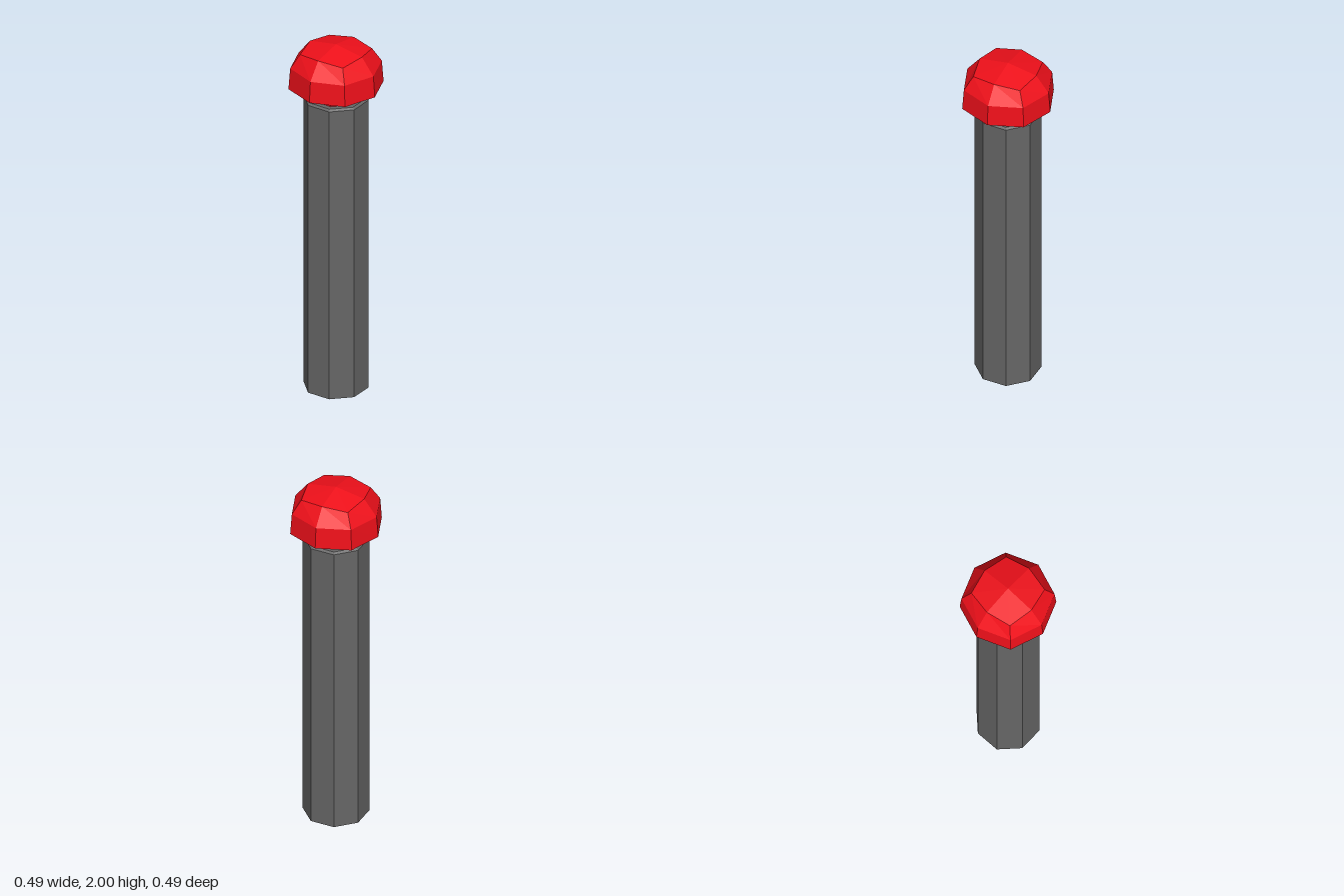
import * as THREE from 'three';

const SIDES = 8;

// Low-poly lathe from [radius, y] points; turn rotates the facets about y
function turned(name, profile, color, turn = 0) {
  const points = profile.map(([r, y]) => new THREE.Vector2(r, y));
  const geometry = new THREE.LatheGeometry(points, SIDES, turn);
  const material = new THREE.MeshStandardMaterial({ color, flatShading: true });
  const mesh = new THREE.Mesh(geometry, material);
  mesh.name = name;
  return mesh;
}

export function createModel() {
  const group = new THREE.Group();
  group.name = 'postWithCap';
  const red = 0xf0101a, grey = 0x666666;
  const flat = Math.PI / SIDES; // flat facets face the axes

  // Octagonal post with a small bevel at the top
  group.add(turned('post', [[0, 0], [0.174, 0], [0.174, 1.69], [0.162, 1.7], [0, 1.7]], grey, flat));

  // Narrow neck between post and cap
  group.add(turned('neck', [[0.133, 1.69], [0.133, 1.77]], red, flat));

  // Domed cap: corners on the axes, with the diagonal corners pushed out
  const profile = [[0, 1.76], [0.245, 1.76], [0.236, 1.88], [0.164, 1.972], [0, 2]];
  const diagonal = [[0, 1.76], [0.252, 1.76], [0.243, 1.88], [0.191, 1.957], [0, 2]];
  const cap = turned('cap', profile, red);
  const pos = cap.geometry.attributes.position;
  for (let i = 1; i < SIDES; i += 2) {
    const a = (i / SIDES) * Math.PI * 2;
    diagonal.forEach(([r, y], j) => {
      pos.setXYZ(i * profile.length + j, r * Math.sin(a), y, r * Math.cos(a));
    });
  }
  cap.geometry.computeVertexNormals();
  group.add(cap);

  return group;
}
